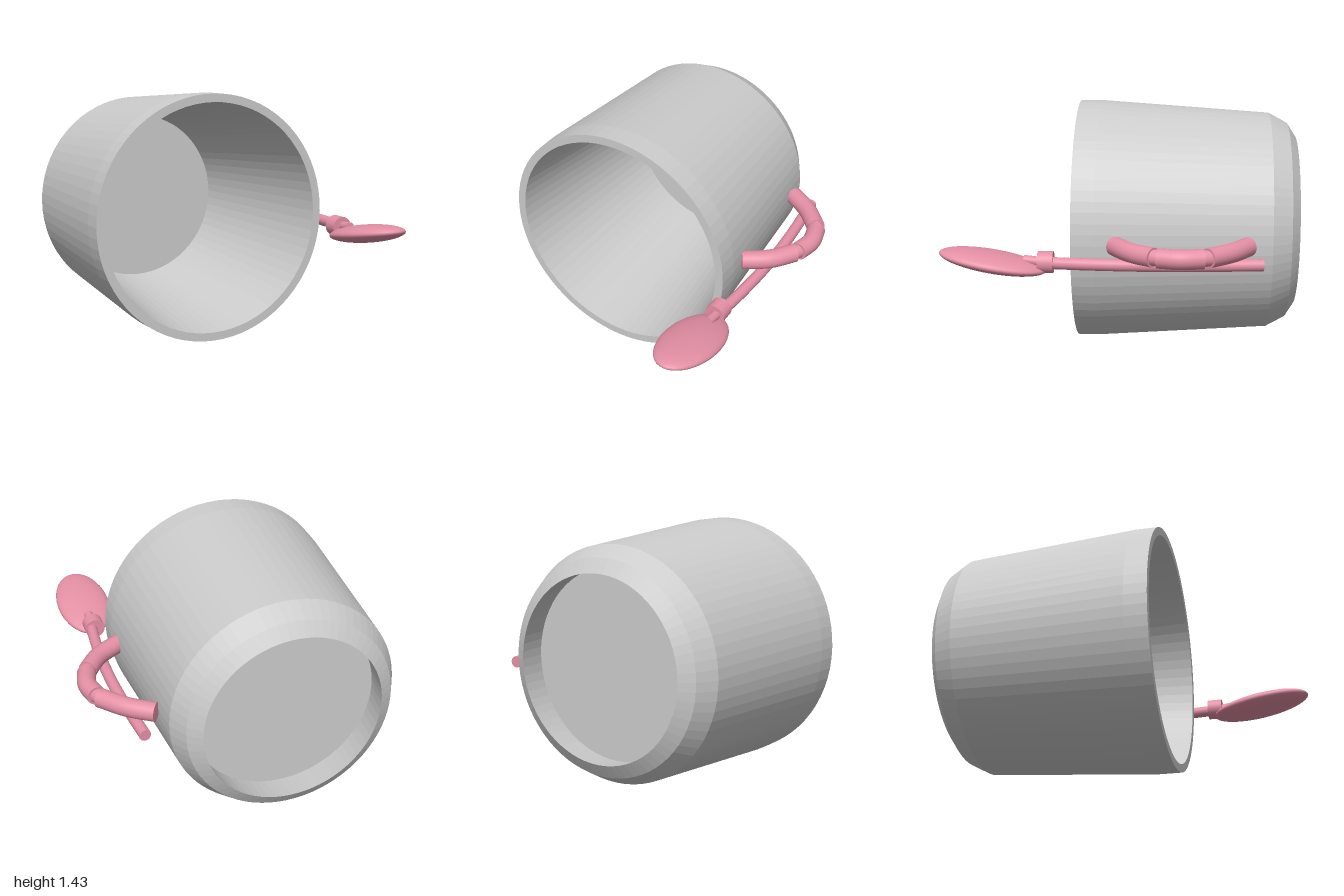
import * as THREE from 'three';

const grey = new THREE.MeshStandardMaterial({ color: 0xcccccc, flatShading: true, side: THREE.DoubleSide });
const pink = new THREE.MeshStandardMaterial({ color: 0xe590a5 });

function add(parent, name, geometry, material) {
  const mesh = new THREE.Mesh(geometry, material);
  mesh.name = name;
  parent.add(mesh);
  return mesh;
}

// Round bar along a smooth path, closed by a disc at both ends
function bar(parent, name, points, radius) {
  const group = new THREE.Group();
  group.name = name;
  parent.add(group);
  const curve = new THREE.CatmullRomCurve3(points.map(p => new THREE.Vector3(...p)));
  add(group, name + 'Tube', new THREE.TubeGeometry(curve, 24, radius, 24), pink);
  for (const t of [0, 1]) {
    const cap = add(group, name + 'Cap', new THREE.CircleGeometry(radius, 24), pink);
    const dir = curve.getTangent(t).multiplyScalar(t ? 1 : -1);
    cap.position.copy(curve.getPoint(t));
    cap.quaternion.setFromUnitVectors(new THREE.Vector3(0, 0, 1), dir);
  }
}

export function createModel() {
  const model = new THREE.Group();

  // Cup lying on its side, mouth towards the front
  const cup = new THREE.Group();
  cup.name = 'cup';
  cup.position.set(-0.155, 0.718, 0);
  model.add(cup);
  const profile = [
    [0.527, -0.83], [0.507, -1], [0.585, -0.95], [0.645, -0.84],
    [0.713, 0.15], [0.713, 0.28], [0.665, 0.28], [0.527, -0.83],
  ].map(p => new THREE.Vector2(...p));
  add(cup, 'cupWall', new THREE.LatheGeometry(profile, 72), grey).rotation.x = Math.PI / 2;
  add(cup, 'cupFloor', new THREE.CircleGeometry(0.527, 72), grey).position.z = -0.83;

  // Handle: three thick segments over a thinner core
  const handle = new THREE.Group();
  handle.name = 'handle';
  handle.position.y = 0.72;
  model.add(handle);
  bar(handle, 'rearSegment', [[0.52, 0, -0.7], [0.65, 0, -0.61], [0.775, 0, -0.475]], 0.054);
  bar(handle, 'middleSegment', [[0.787, 0, -0.452], [0.811, 0, -0.33], [0.787, 0, -0.208]], 0.054);
  bar(handle, 'frontSegment', [[0.775, 0, -0.185], [0.68, 0, -0.06], [0.545, 0, 0.035]], 0.054);
  bar(handle, 'rearJoint', [[0.76, 0, -0.5], [0.79, 0, -0.43]], 0.044);
  bar(handle, 'frontJoint', [[0.79, 0, -0.23], [0.76, 0, -0.16]], 0.044);

  // Spoon beside the cup
  const spoon = new THREE.Group();
  spoon.name = 'spoon';
  spoon.position.set(0.605, 0.64, 0);
  model.add(spoon);
  bar(spoon, 'stem', [[0, 0, -0.78], [0.036, 0, -0.4], [0.046, 0, -0.1], [0.035, 0, 0.2], [0.015, 0, 0.42]], 0.033);
  bar(spoon, 'stemTip', [[0.01, 0, 0.4], [0.003, 0.012, 0.53]], 0.027);
  const collar = add(spoon, 'collar', new THREE.CylinderGeometry(0.06, 0.06, 0.085, 32), pink);
  collar.rotation.x = Math.PI / 2;
  collar.position.z = 0.41;
  const bowl = add(spoon, 'bowl', new THREE.SphereGeometry(1, 40, 24), pink);
  bowl.scale.set(0.162, 0.052, 0.3);
  bowl.rotation.x = -0.17;
  bowl.position.z = 0.702;

  return model;
}
